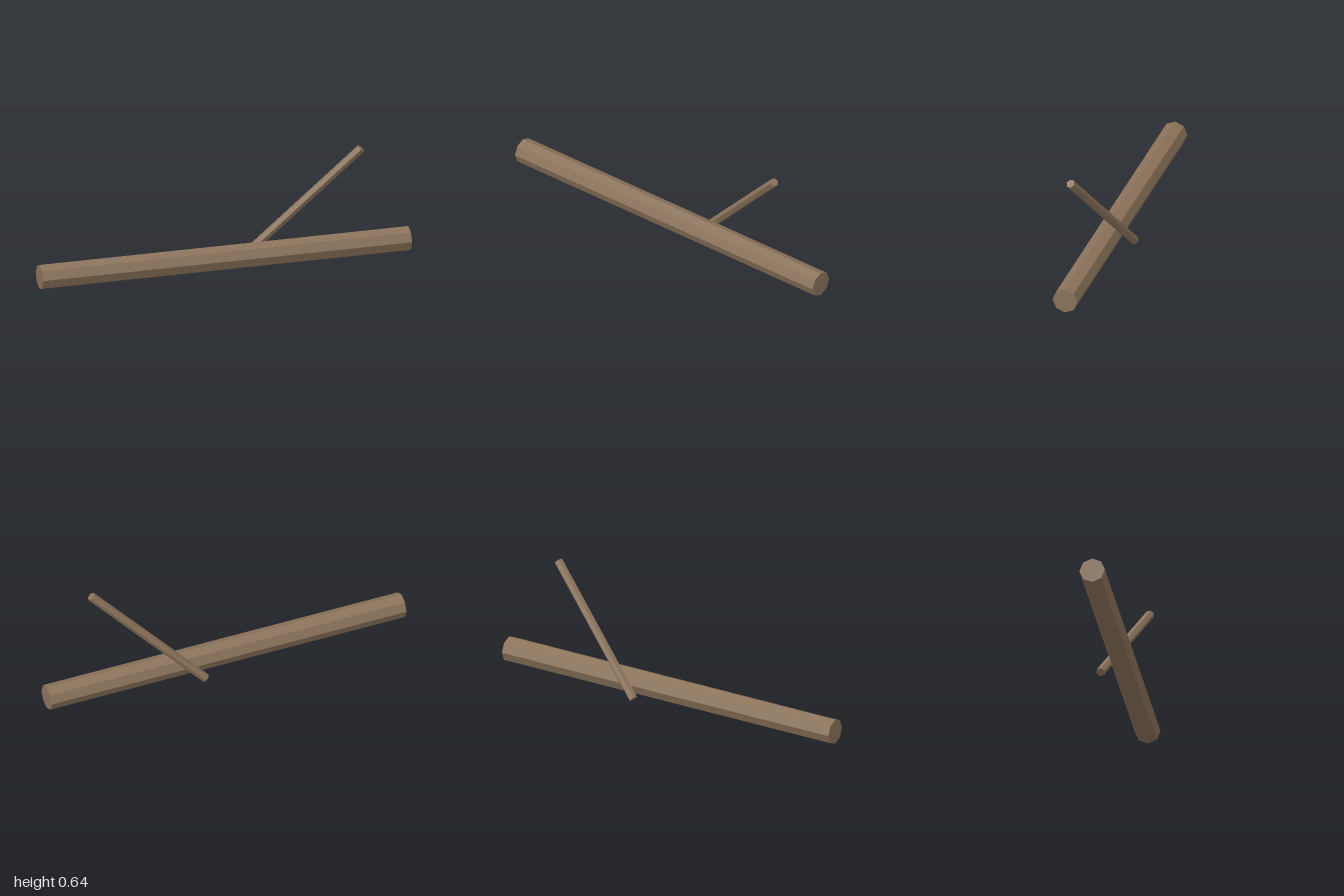
import * as THREE from 'three';

export function createModel() {
  const model = new THREE.Group();
  model.name = 'fallenLog';
  const bark = new THREE.MeshStandardMaterial({ color: 0x8b735b, flatShading: true });
  bark.name = 'bark brown';

  const addPole = (name, radius, length, sides) => {
    const mesh = new THREE.Mesh(new THREE.CylinderGeometry(radius, radius, length, sides), bark);
    mesh.name = name;
    model.add(mesh);
    return mesh;
  };

  // Eight-sided trunk lying on the ground, turned slightly
  const trunk = addPole('trunk', 0.0684, 2.051, 8);
  trunk.rotation.set(0, 0.3, Math.PI / 2);
  trunk.position.y = 0.0684;

  // Thin six-sided branch leaning towards +x behind the trunk's centre
  const branch = addPole('branch', 0.0242, 0.855, 6);
  branch.rotation.z = -0.8;
  branch.position.set(0.422, 0.325, -0.171);

  return model;
}
